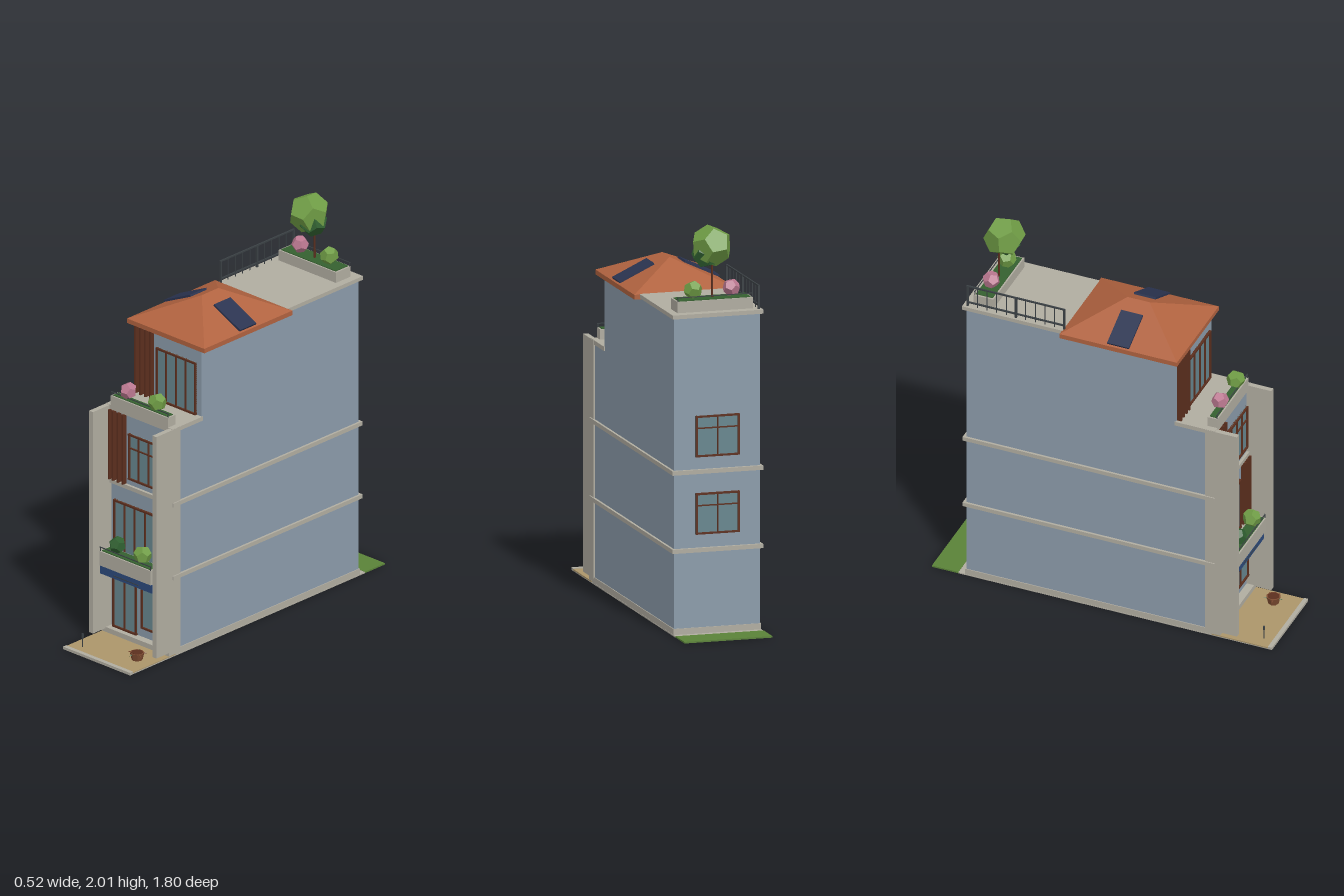
import * as THREE from 'three';

const mat = (color, flatShading = false) => new THREE.MeshStandardMaterial({ color, flatShading });
const M = {
  wall: mat(0x8b9baa), stone: mat(0xb0aca0), roof: mat(0xb0623f, true), wood: mat(0x5c2f1e),
  glass: mat(0x67868f), metal: mat(0x3a4044), awning: mat(0x2c4a7c), solar: mat(0x2a3350),
  paving: mat(0xab956a), grass: mat(0x5a8238), soil: mat(0x35602f), leaf: mat(0x6f9c45, true),
  darkLeaf: mat(0x2f5f30, true), pink: mat(0xbb7890, true), pot: mat(0x7c4a30, true),
};

export function createModel() {
  const root = new THREE.Group();

  const add = (name, geo, material, x = 0, y = 0, z = 0, parent = root) => {
    const m = new THREE.Mesh(geo, material);
    m.name = name;
    m.position.set(x, y, z);
    parent.add(m);
    return m;
  };
  // Box given by its min and max on each axis
  const box = (name, material, x0, x1, y0, y1, z0, z1, parent = root) =>
    add(name, new THREE.BoxGeometry(x1 - x0, y1 - y0, z1 - z0), material,
      (x0 + x1) / 2, (y0 + y1) / 2, (z0 + z1) / 2, parent);
  const group = (name) => {
    const g = new THREE.Group();
    g.name = name;
    root.add(g);
    return g;
  };

  // Ground
  box('groundSlab', M.stone, -0.225, 0.225, 0, 0.006, -0.76, 0.9);
  box('paving', M.paving, -0.225, 0.225, 0.004, 0.01, 0.58, 0.878);
  box('kerb', M.stone, -0.225, 0.225, 0, 0.014, 0.878, 0.9);
  box('lawn', M.grass, -0.225, 0.225, 0, 0.008, -0.9, -0.76);

  // Main volumes
  box('plinth', M.stone, -0.224, 0.224, 0.004, 0.036, -0.724, 0.625);
  box('lowerBody', M.wall, -0.22, 0.22, 0.036, 1.2, -0.72, 0.585);
  box('upperBody', M.wall, -0.22, 0.22, 1.2, 1.58, -0.72, 0.39);
  for (const s of [-1, 1]) {
    const a = s * 0.2, b = s * 0.226;
    box('sideFin', M.stone, Math.min(a, b), Math.max(a, b), 0.03, 1.215, 0.545, 0.715);
  }
  for (const y of [0.412, 0.802]) box('floorBand', M.stone, -0.232, 0.232, y, y + 0.021, -0.735, 0.6);
  box('terraceSlab', M.stone, -0.225, 0.225, 1.195, 1.217, 0.385, 0.598);
  box('roofDeck', M.stone, -0.232, 0.232, 1.58, 1.6, -0.738, -0.18);

  // Hip roof: eave slab and sloping faces
  const ex = 0.26, zf = 0.412, zb = -0.21, ey = 1.598, ry = 1.72, rf = 0.157, rb = 0.04;
  box('roofEave', M.roof, -ex, ex, 1.574, ey, zb, zf);
  const A = [-ex, ey, zf], B = [ex, ey, zf], C = [ex, ey, zb], D = [-ex, ey, zb];
  const F = [0, ry, rf], R = [0, ry, rb];
  const hip = new THREE.BufferGeometry();
  hip.setAttribute('position', new THREE.Float32BufferAttribute(
    [A, B, F, B, C, R, B, R, F, C, D, R, D, A, F, D, F, R].flat(), 3));
  hip.computeVertexNormals();
  add('hipRoof', hip, M.roof);
  const slope = Math.atan2(ry - ey, ex);
  for (const s of [-1, 1]) {
    const p = add('solarPanel', new THREE.BoxGeometry(0.195, 0.01, 0.115), M.solar, s * 0.167, 1.65, 0.098);
    p.rotation.z = -s * slope;
  }

  // Framed glazing; dir is the outward z direction
  function glazing(name, x0, x1, y0, y1, z, panes, transom, dir = 1) {
    const g = group(name), t = 0.009;
    const bar = (n, m, a, b, c, d, depth) =>
      box(n, m, a, b, c, d, Math.min(z, z + dir * depth), Math.max(z, z + dir * depth), g);
    bar('glass', M.glass, x0, x1, y0, y1, 0.005);
    bar('frameBottom', M.wood, x0, x1, y0, y0 + t, 0.014);
    bar('frameTop', M.wood, x0, x1, y1 - t, y1, 0.014);
    for (let i = 0; i <= panes; i++) {
      const w = i === 0 || i === panes ? t : 0.006;
      const x = x0 + (x1 - x0 - w) * i / panes;
      bar('mullion', M.wood, x, x + w, y0, y1, 0.013);
    }
    if (transom) bar('transom', M.wood, x0, x1, transom, transom + 0.006, 0.012);
  }
  glazing('frontDoor', -0.182, -0.022, 0.036, 0.33, 0.585, 2);
  glazing('shopWindow', 0.008, 0.2, 0.085, 0.348, 0.585, 2);
  glazing('balconyDoor', -0.177, 0.108, 0.433, 0.718, 0.585, 4);
  glazing('middleWindow', -0.077, 0.19, 0.855, 1.1, 0.585, 4, 1.022);
  glazing('terraceDoor', -0.077, 0.19, 1.217, 1.497, 0.39, 4);
  for (const y of [0.5, 0.885]) glazing('backWindow', -0.112, 0.112, y, y + 0.205, -0.72, 2, y + 0.14, -1);

  // Vertical timber slats
  const slats = (xs, y0, y1, z) => xs.forEach((x) =>
    box('slat', M.wood, x - 0.005, x + 0.005, y0, y1, z, z + 0.025));
  slats([0.135, 0.168, 0.196], 0.433, 0.802, 0.585);
  slats([-0.196, -0.17, -0.137, -0.104], 0.823, 1.195, 0.585);
  slats([-0.205, -0.17, -0.137, -0.104], 1.217, 1.575, 0.39);

  // Balcony slab with rounded front corners, and the awning below
  const s = new THREE.Shape();
  s.moveTo(-0.2, -0.58);
  s.lineTo(0.2, -0.58);
  s.lineTo(0.2, -0.63);
  s.quadraticCurveTo(0.2, -0.69, 0.15, -0.69);
  s.lineTo(-0.15, -0.69);
  s.quadraticCurveTo(-0.2, -0.69, -0.2, -0.63);
  const slab = new THREE.ExtrudeGeometry(s, { depth: 0.015, bevelEnabled: false });
  slab.rotateX(-Math.PI / 2);
  add('balconySlab', slab, M.stone, 0, 0.398, 0);
  const awning = box('awning', M.awning, -0.175, 0.172, 0.352, 0.396, 0.585, 0.69);
  const ap = awning.geometry.attributes.position;
  for (let i = 0; i < ap.count; i++) if (ap.getZ(i) < 0 && ap.getY(i) < 0) ap.setY(i, 0.0);
  awning.geometry.computeVertexNormals();
  box('awningTrim', M.metal, -0.085, 0.085, 0.366, 0.37, 0.688, 0.692);

  // Planters with soil and a thin rail
  function planter(name, w, y0, y1, z0, z1, railZ) {
    const g = group(name);
    box('trough', M.stone, -w, w, y0, y1, z0, z1, g);
    box('planting', M.soil, -w + 0.01, w - 0.01, y1 - 0.005, y1 + 0.004, z0 + 0.008, z1 - 0.008, g);
    box('rail', M.metal, -w, w, y1 + 0.018, y1 + 0.022, railZ - 0.002, railZ + 0.002, g);
    for (const x of [-w + 0.004, w - 0.004])
      box('railPost', M.metal, x - 0.002, x + 0.002, y1, y1 + 0.02, railZ - 0.002, railZ + 0.002, g);
  }
  planter('balconyPlanter', 0.172, 0.4, 0.476, 0.625, 0.7, 0.695);
  planter('terracePlanter', 0.193, 1.217, 1.268, 0.545, 0.598, 0.593);
  planter('roofPlanter', 0.193, 1.6, 1.655, -0.692, -0.588, -0.688);

  // Faceted shrubs
  function shrub(name, material, r, x, y, z, turn) {
    const m = add(name, new THREE.DodecahedronGeometry(r), material, x, y, z);
    m.rotation.set(turn, turn * 1.7, turn * 0.6);
  }
  shrub('darkShrub', M.darkLeaf, 0.044, -0.086, 0.523, 0.662, 0.5);
  shrub('greenShrub', M.leaf, 0.047, 0.083, 0.523, 0.662, 1.1);
  shrub('pinkShrub', M.pink, 0.044, -0.098, 1.315, 0.572, 0.4);
  shrub('greenShrub', M.leaf, 0.047, 0.096, 1.315, 0.572, 1.2);
  shrub('pinkShrub', M.pink, 0.044, -0.098, 1.7, -0.64, 0.7);
  shrub('greenShrub', M.leaf, 0.047, 0.098, 1.7, -0.64, 1.4);

  // Roof tree
  add('treeTrunk', new THREE.CylinderGeometry(0.004, 0.006, 0.2, 6), M.wood, 0, 1.75, -0.64);
  shrub('treeLowerCrown', M.darkLeaf, 0.074, 0.018, 1.868, -0.605, 0.8);
  shrub('treeCrown', M.leaf, 0.104, -0.008, 1.9, -0.608, 0.35);
  root.children[root.children.length - 1].position.y = 1.908;

  // Roof deck railing on the right edge
  const rail = group('roofRailing'), rx = -0.215;
  for (const y of [1.618, 1.712]) box('railBar', M.metal, rx - 0.004, rx + 0.004, y, y + 0.007, -0.72, -0.2, rail);
  for (let i = 0; i <= 10; i++) {
    const z = -0.203 - 0.0512 * i, t = i % 5 ? 0.0018 : 0.005;
    box(i % 5 ? 'baluster' : 'railPost', M.metal, rx - t, rx + t, 1.6, 1.717, z - t, z + t, rail);
  }

  // Garden pot with drooping leaves, and path light
  add('gardenPot', new THREE.CylinderGeometry(0.036, 0.027, 0.038, 8), M.pot, 0.135, 0.03, 0.755);
  add('potSoil', new THREE.CylinderGeometry(0.029, 0.029, 0.004, 8), M.wood, 0.135, 0.049, 0.755);
  for (let i = 0; i < 5; i++) {
    const a = i * 1.257 + 0.4;
    const leaf = add('potLeaf', new THREE.ConeGeometry(0.008, 0.035, 4), i % 2 ? M.darkLeaf : M.pot,
      0.135 + 0.035 * Math.cos(a), 0.043, 0.755 + 0.035 * Math.sin(a));
    leaf.rotation.set(0, -a, -1.6);
  }
  add('pathLightPost', new THREE.CylinderGeometry(0.003, 0.003, 0.06, 6), M.metal, -0.16, 0.038, 0.83);
  add('pathLightHead', new THREE.CylinderGeometry(0.006, 0.006, 0.02, 8), M.metal, -0.16, 0.07, 0.83);

  return root;
}
